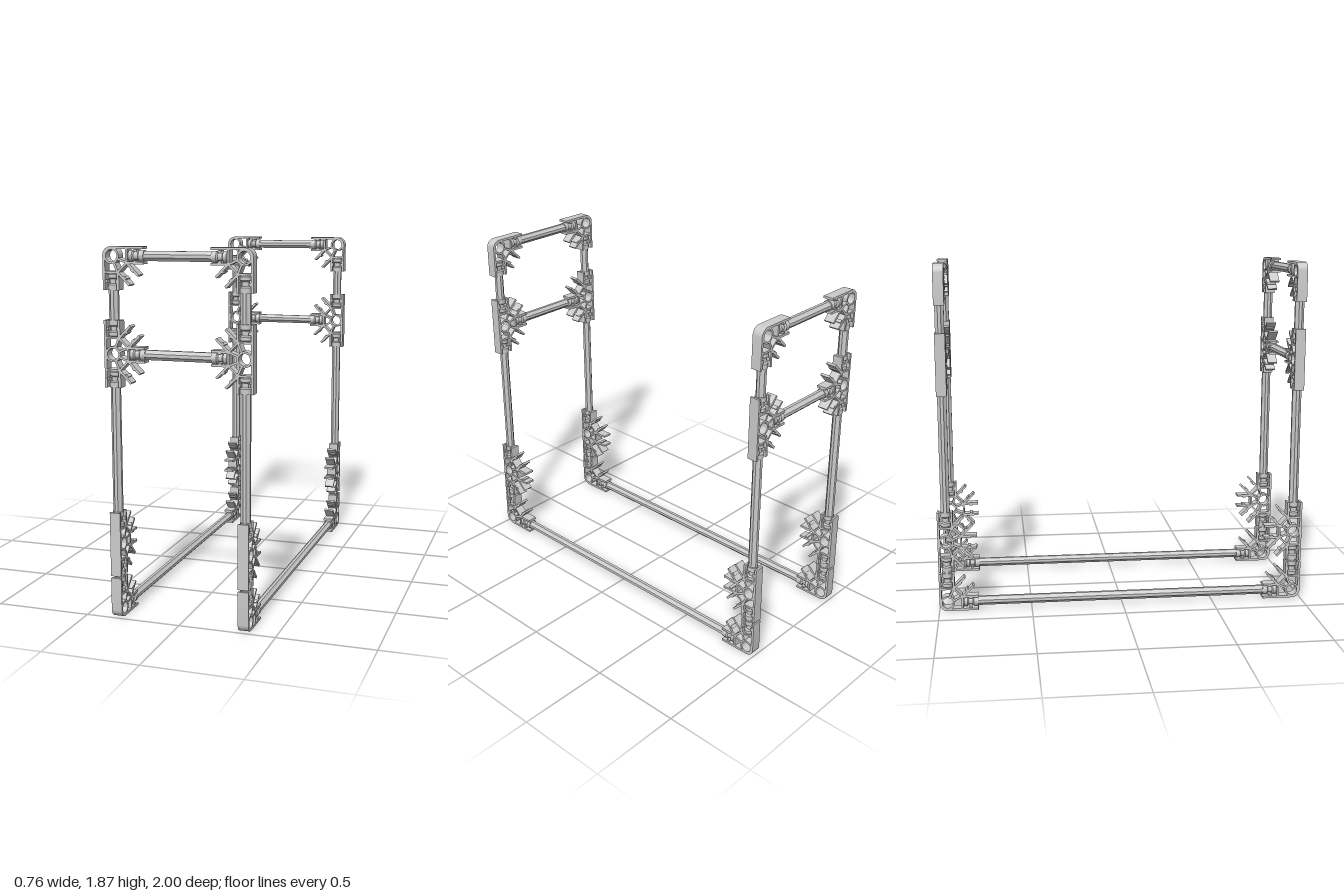
import * as THREE from 'three';
import { mergeGeometries, toCreasedNormals } from 'three/addons/utils/BufferGeometryUtils.js';

const DEPTH = 0.055;   // connector thickness
const REACH = 0.165;   // hub centre to end of a slot
const EDGE = 0.045;    // hub centre to outer face of the wall
const WALL = 0.012;
const HUB_X = 0.335, HUB_Z = 0.955;
const LOW = 0.045, KNEE = 0.385, MID = 1.345, TOP = 1.82;

const material = new THREE.MeshStandardMaterial({ color: 0xcccccc });

function extrude(shape, depth, curveSegments = 10) {
  const g = new THREE.ExtrudeGeometry(shape, { depth, bevelEnabled: false, curveSegments });
  g.translate(0, 0, -depth / 2);
  return toCreasedNormals(g, 0.6);
}

// Straight rib in a slot's own frame: along the slot (u) and across it (v)
function rib(angle, u0, u1, v, thickness, depth = DEPTH) {
  const g = new THREE.BoxGeometry(u1 - u0, thickness, depth).toNonIndexed();
  g.translate((u0 + u1) / 2, v, 0);
  g.rotateZ(angle);
  return g;
}

// Flat snap connector: hub ring, outer wall, spokes and forked slots
function connectorGeometry(firstSlot, slotCount, wallShape) {
  const hub = new THREE.Shape().absarc(0, 0, 0.039, 0, Math.PI * 2);
  hub.holes.push(new THREE.Path().absarc(0, 0, 0.029, 0, Math.PI * 2, true));
  const parts = [extrude(hub, DEPTH, 24), extrude(wallShape, DEPTH)];
  for (let i = 0; i < slotCount; i++) {
    const a = firstSlot + i * Math.PI / 4;
    parts.push(rib(a, 0.074, 0.084, 0, 0.068));
    for (const s of [-1, 1]) {
      // the outermost prongs are formed by the wall itself
      const isWall = (i === 0 && s < 0) || (i === slotCount - 1 && s > 0);
      if (!isWall) parts.push(rib(a, 0.076, REACH, s * 0.033, WALL));
      parts.push(rib(a, 0.115, 0.132, s * 0.026, 0.01, DEPTH * 0.9));
    }
    if (i < slotCount - 1) parts.push(rib(a + Math.PI / 8, 0.034, 0.09, 0, 0.011));
  }
  return mergeGeometries(parts);
}

function straightWall() {
  const s = new THREE.Shape();
  s.moveTo(-EDGE, -REACH);
  s.lineTo(-EDGE + WALL, -REACH);
  s.lineTo(-EDGE + WALL, REACH);
  s.lineTo(-EDGE, REACH);
  return s;
}

function cornerWall() {
  const inner = EDGE - WALL;
  const s = new THREE.Shape();
  s.moveTo(REACH, -EDGE);
  s.lineTo(REACH, -inner);
  s.lineTo(0, -inner);
  s.absarc(0, 0, inner, -Math.PI / 2, -Math.PI, true);
  s.lineTo(-inner, REACH);
  s.lineTo(-EDGE, REACH);
  s.lineTo(-EDGE, 0);
  s.absarc(0, 0, EDGE, Math.PI, Math.PI * 1.5, false);
  return s;
}

// Cross-shaped rod section: four ridges around a core
function rodSection() {
  const r = 0.024, w = 0.008, c = 0.014;
  const s = new THREE.Shape();
  for (let i = 0; i < 4; i++) {
    const a = i * Math.PI / 2;
    [[r, -w], [r, w], [c, c]].forEach(([x, y], k) => {
      const px = x * Math.cos(a) - y * Math.sin(a);
      const py = x * Math.sin(a) + y * Math.cos(a);
      if (i === 0 && k === 0) s.moveTo(px, py); else s.lineTo(px, py);
    });
  }
  return s;
}

// Rod along +y between two hubs, with a flanged neck at each end
function rodGeometry(span) {
  const profile = [[0, 0.085], [0.025, 0.085], [0.028, 0.089], [0.028, 0.106], [0.019, 0.112],
    [0.019, 0.134], [0.028, 0.14], [0.028, REACH], [0, REACH]].map(p => new THREE.Vector2(...p));
  const end = toCreasedNormals(new THREE.LatheGeometry(profile, 16), 0.6);
  const far = end.clone().rotateX(Math.PI).translate(0, span, 0);
  const shaft = extrude(rodSection(), span - 2 * REACH + 0.01);
  shaft.rotateX(-Math.PI / 2).translate(0, span / 2, 0);
  return mergeGeometries([end, far, shaft]);
}

export function createModel() {
  const model = new THREE.Group();
  const corner = connectorGeometry(0, 3, cornerWall());
  const half = connectorGeometry(-Math.PI / 2, 5, straightWall());

  function add(name, geometry, x, y, z, rx = 0, ry = 0, rz = 0) {
    const mesh = new THREE.Mesh(geometry, material);
    mesh.name = name;
    mesh.position.set(x, y, z);
    mesh.rotation.set(rx, ry, rz);
    model.add(mesh);
  }

  const crossRod = rodGeometry(2 * HUB_X);
  const baseRod = rodGeometry(2 * HUB_Z);
  const footRod = rodGeometry(KNEE - LOW);
  const postRod = rodGeometry(MID - KNEE);
  const upperRod = rodGeometry(TOP - MID);

  for (const sz of [1, -1]) {
    const z = sz * HUB_Z;
    // cross rods of each end frame
    add('topCrossRod', crossRod, HUB_X, TOP, z, 0, 0, Math.PI / 2);
    add('middleCrossRod', crossRod, HUB_X, MID, z, 0, 0, Math.PI / 2);

    for (const sx of [1, -1]) {
      const x = sx * HUB_X;
      // upright rods
      add('footRod', footRod, x, LOW, z);
      add('postRod', postRod, x, KNEE, z);
      add('upperRod', upperRod, x, MID, z);
      // connectors lying in the end frame
      add('topCorner', corner, x, TOP, z, 0, 0, sx > 0 ? Math.PI : -Math.PI / 2);
      add('middleConnector', half, x, MID, z, 0, 0, sx > 0 ? Math.PI : 0);
      // connectors turned to face along the base
      add('bottomCorner', corner, x, LOW, z, 0, sz * Math.PI / 2, 0);
      add('lowerConnector', half, x, KNEE, z, 0, sz * Math.PI / 2, 0);
    }
  }
  // long base rods joining both end frames
  for (const sx of [1, -1]) add('baseRod', baseRod, sx * HUB_X, LOW, -HUB_Z, Math.PI / 2, 0, 0);

  return model;
}
